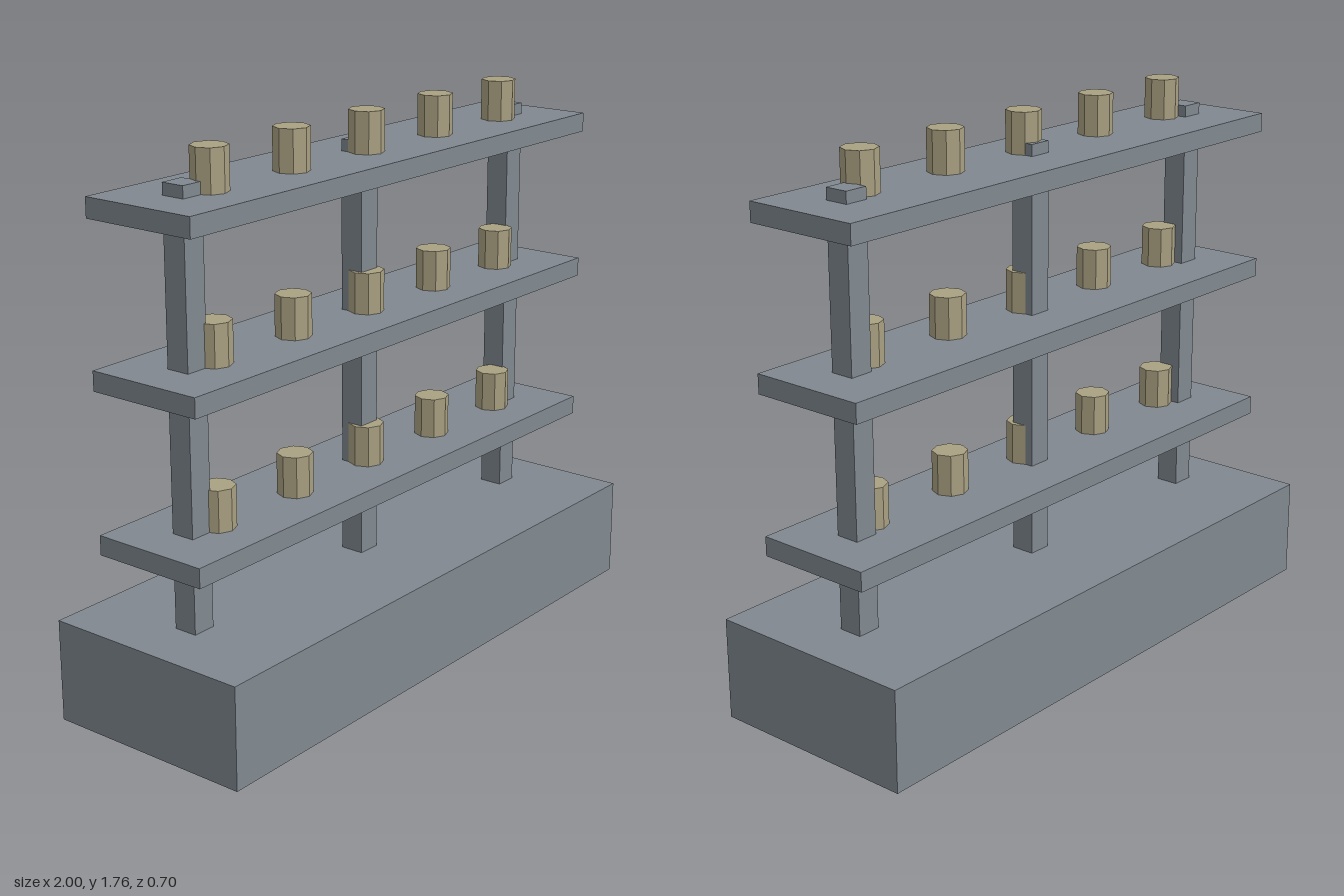
import * as THREE from 'three';

export function createModel() {
  const model = new THREE.Group();
  model.name = 'shelfRack';

  const slateGrey = new THREE.MeshStandardMaterial({ color: 0x808890 });
  slateGrey.name = 'slateGrey';
  const sand = new THREE.MeshStandardMaterial({ color: 0xaaa182 });
  sand.name = 'sand';

  const add = (name, geometry, material, x, y, z) => {
    const mesh = new THREE.Mesh(geometry, material);
    mesh.name = name;
    mesh.position.set(x, y, z);
    model.add(mesh);
  };

  // Solid plinth
  const baseHeight = 0.327;
  add('base', new THREE.BoxGeometry(2, baseHeight, 0.7), slateGrey, 0, baseHeight / 2, 0);

  // Three posts from the plinth to just above the top shelf
  const postTop = 1.665;
  const postHeight = postTop - baseHeight;
  const post = new THREE.BoxGeometry(0.078, postHeight, 0.078);
  for (const x of [-0.785, 0, 0.785]) {
    add('post', post, slateGrey, x, baseHeight + postHeight / 2, 0);
  }

  // Three shelves, each with a row of five eight-sided jars
  const shelfThickness = 0.062;
  const jarHeight = 0.131;
  const shelf = new THREE.BoxGeometry(1.93, shelfThickness, 0.39);
  // Non-indexed geometry with fresh normals gives flat facets
  const jar = new THREE.CylinderGeometry(0.056, 0.056, jarHeight, 8).toNonIndexed();
  jar.computeVertexNormals();
  for (let row = 0; row < 3; row++) {
    const y = 0.597 + row * 0.5;
    add('shelf', shelf, slateGrey, 0, y, 0);
    for (let i = -2; i <= 2; i++) {
      add('jar', jar, sand, i * 0.351, y + (shelfThickness + jarHeight) / 2, 0.027);
    }
  }

  return model;
}
